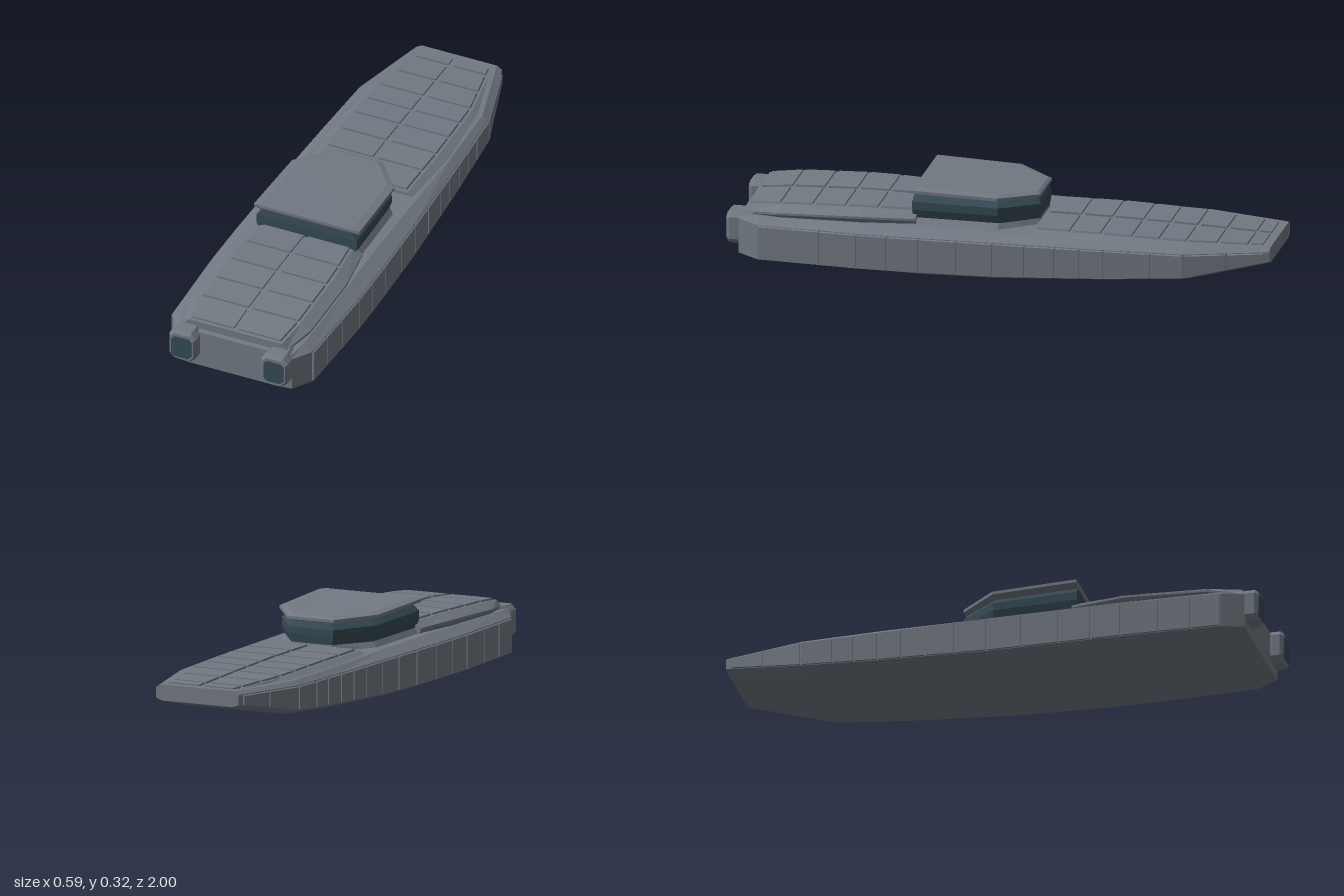
import * as THREE from 'three';

const hullGrey = new THREE.MeshStandardMaterial({ color: 0x727982 });
hullGrey.name = 'hull grey';
const glassTeal = new THREE.MeshStandardMaterial({ color: 0x364a54 });
glassTeal.name = 'dark teal glass';

// Skin a list of equal-length 3D loops, capped at both ends, with flat facets
function loft(name, rings, material = hullGrey) {
  const pos = [];
  const tri = (a, b, c) => pos.push(...a, ...b, ...c);
  const n = rings[0].length;
  for (let i = 0; i + 1 < rings.length; i++) {
    const a = rings[i], b = rings[i + 1];
    for (let j = 0; j < n; j++) {
      const k = (j + 1) % n;
      tri(a[j], b[j], b[k]);
      tri(a[j], b[k], a[k]);
    }
  }
  const first = rings[0], last = rings[rings.length - 1];
  for (let j = 1; j + 1 < n; j++) {
    tri(first[0], first[j], first[j + 1]);
    tri(last[0], last[j + 1], last[j]);
  }
  const geometry = new THREE.BufferGeometry();
  geometry.setAttribute('position', new THREE.Float32BufferAttribute(pos, 3));
  geometry.computeVertexNormals();
  const mesh = new THREE.Mesh(geometry, material);
  mesh.name = name;
  return mesh;
}

// Interpolate a table row at a given z (rows run from bow to stern)
function at(rows, z) {
  let i = 0;
  while (i < rows.length - 2 && z < rows[i + 1][0]) i++;
  const a = rows[i], b = rows[i + 1];
  const t = (z - a[0]) / (b[0] - a[0]);
  return a.map((v, k) => v + (b[k] - v) * t);
}

// Close a right-hand half profile by mirroring it across x = 0
const symmetric = (half, z) => [
  ...half.map(([x, y]) => [x, y, z]),
  ...half.slice().reverse().map(([x, y]) => [-x, y, z]),
];

// Mirror rings to the other side, keeping the facets facing outward
const sided = (rings, s) => (s > 0 ? rings
  : rings.map((r) => r.map(([x, y, z]) => [-x, y, z]).reverse()));

// z, wall half width, keel half width, keel y, chine y, wall top y, shoulder half width, shoulder y
const HULL = [
  [0.95, 0.235, 0.17, 0.035, 0.04, 0.17, 0.225, 0.18],
  [0.87, 0.277, 0.19, 0.012, 0.033, 0.163, 0.24, 0.184],
  [0.5, 0.29, 0.21, 0.003, 0.03, 0.162, 0.24, 0.187],
  [0.3, 0.289, 0.21, 0, 0.03, 0.162, 0.235, 0.188],
  [0, 0.282, 0.21, 0.006, 0.033, 0.162, 0.235, 0.184],
  [-0.4, 0.267, 0.205, 0.028, 0.05, 0.16, 0.24, 0.178],
  [-0.7, 0.252, 0.195, 0.05, 0.07, 0.16, 0.23, 0.175],
  [-1, 0.17, 0.145, 0.118, 0.128, 0.165, 0.15, 0.177],
];

// z, outer half width, top half width, top y
const FORE_DECK = [
  [0.93, 0.205, 0.185, 0.21], [0.8, 0.24, 0.2, 0.222],
  [0.5, 0.244, 0.2, 0.232], [0.3, 0.215, 0.18, 0.228],
];
const AFT_DECK = [
  [-0.13, 0.235, 0.195, 0.193], [-0.4, 0.244, 0.2, 0.193],
  [-0.7, 0.232, 0.19, 0.185], [-0.98, 0.155, 0.14, 0.175],
];

function addDeck(parent, name, rows, edges) {
  const group = new THREE.Group();
  group.name = name;
  group.add(loft('deckBase', rows.map(([z, ow, tw, y]) =>
    symmetric([[ow - 0.012, y - 0.045], [ow, y - 0.028], [ow, y - 0.02], [tw, y]], z))));
  // Two columns of raised plates with grooves between them
  for (let i = 0; i + 1 < edges.length; i++) {
    const rings = [edges[i] - 0.007, edges[i + 1] + 0.007].map((z) => {
      const [, , tw, y] = at(rows, z);
      return [[0.01, y - 0.012, z], [tw - 0.006, y - 0.012, z],
        [tw - 0.012, y + 0.007, z], [0.01, y + 0.007, z]];
    });
    for (const s of [1, -1]) group.add(loft('deckPlate', sided(rings, s)));
  }
  parent.add(group);
}

// Horizontal cabin outline at height y, drawn in by an inset; aft end droops
function cabinRing(half, inset, y, droop) {
  const plan = [[half - inset, 0.315 - inset * 0.12], [half - 0.007 - inset, 0],
    [half * 0.45 - inset * 0.5, -0.135 + inset * 0.4]];
  const p = ([x, z], s) => [x * s, y - Math.max(0, 0.16 - z) * droop, z];
  return [...plan.map((q) => p(q, 1)), ...plan.slice().reverse().map((q) => p(q, -1))];
}

// Chamfered rectangle at depth z
function octagon(cx, cy, hw, hh, c, z) {
  return [[hw - c, -hh], [hw, -hh + c], [hw, hh - c], [hw - c, hh],
    [-hw + c, hh], [-hw, hh - c], [-hw, -hh + c], [-hw + c, -hh]]
    .map(([x, y]) => [cx + x, cy + y, z]);
}

export function createModel() {
  const model = new THREE.Group();
  model.name = 'ship';

  model.add(loft('hull', HULL.map(([z, w, kw, ky, cy, wy, sw, sy]) =>
    symmetric([[kw, ky], [w, cy], [w, wy], [sw, sy]], z))));

  // Armour plates along the side walls
  const seams = [0.87, 0.76, 0.64, 0.5, 0.39, 0.27, 0.13, 0, -0.12, -0.23,
    -0.32, -0.41, -0.5, -0.58, -0.7, -0.85, -0.98];
  const sidePlates = new THREE.Group();
  sidePlates.name = 'sidePlates';
  for (let i = 0; i + 1 < seams.length; i++) {
    const rings = [seams[i] - 0.003, seams[i + 1] + 0.003].map((z) => {
      const [, w, , , cy, wy] = at(HULL, z);
      return [[w - 0.01, cy, z], [w + 0.006, cy + 0.003, z],
        [w + 0.006, wy - 0.006, z], [w - 0.01, wy + 0.002, z]];
    });
    for (const s of [1, -1]) sidePlates.add(loft('sidePlate', sided(rings, s)));
  }
  model.add(sidePlates);

  addDeck(model, 'foreDeck', FORE_DECK, [0.925, 0.8, 0.68, 0.56, 0.44, 0.31]);
  addDeck(model, 'aftDeck', AFT_DECK, [-0.14, -0.27, -0.385, -0.5, -0.6, -0.7, -0.81, -0.92, -0.975]);

  // Cabin, from plinth to roof
  model.add(loft('cabinPlinth', [
    cabinRing(0.2, 0.015, 0.212, 0.02), cabinRing(0.21, 0, 0.18, 0.02)]));
  model.add(loft('cabinGlass', [
    cabinRing(0.2, 0.028, 0.295, 0.05), cabinRing(0.2, 0, 0.27, 0.04),
    cabinRing(0.2, 0, 0.238, 0.02), cabinRing(0.2, 0.012, 0.205, 0.01)], glassTeal));
  model.add(loft('cabinRoof', [
    cabinRing(0.21, 0.028, 0.32, 0.06), cabinRing(0.21, 0, 0.314, 0.06),
    cabinRing(0.21, 0, 0.303, 0.06), cabinRing(0.21, 0.055, 0.289, 0.04)]));

  // Bow lamps
  for (const s of [1, -1]) {
    const lamp = new THREE.Group();
    lamp.name = s > 0 ? 'leftLamp' : 'rightLamp';
    const x = 0.183 * s;
    lamp.add(loft('lampHousing', [
      octagon(x, 0.13, 0.046, 0.052, 0.016, 0.996), octagon(x, 0.13, 0.053, 0.061, 0.02, 0.985),
      octagon(x, 0.13, 0.053, 0.061, 0.02, 0.955), octagon(x, 0.135, 0.048, 0.055, 0.02, 0.9)]));
    lamp.add(loft('lampGlass', [
      octagon(x, 0.128, 0.039, 0.043, 0.012, 1), octagon(x, 0.128, 0.039, 0.043, 0.012, 0.994)], glassTeal));
    model.add(lamp);
  }
  return model;
}
